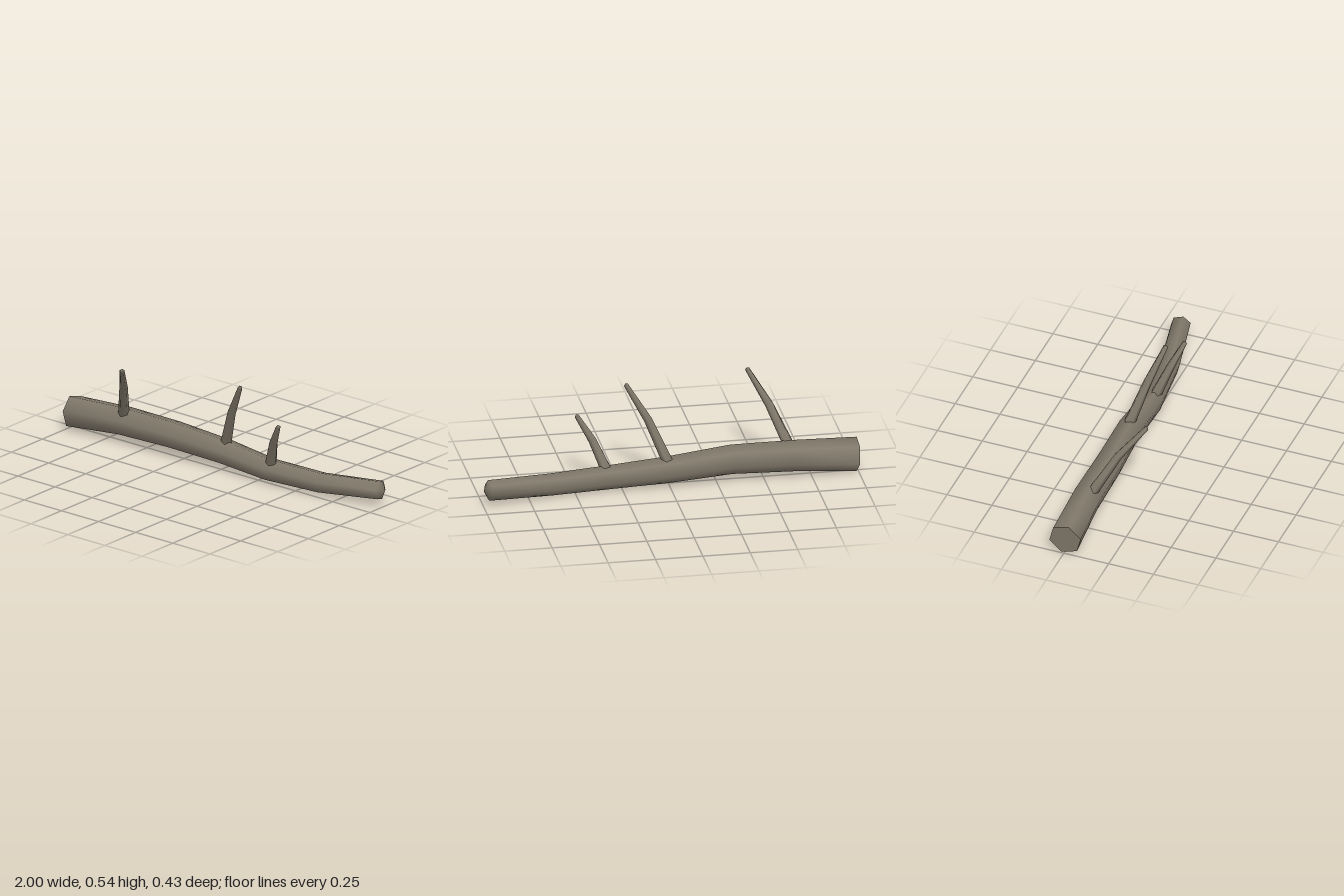
import * as THREE from 'three';

const UP = new THREE.Vector3(0, 1, 0);

// Tapered limb: rows are [x, y, z, radius]; smooth sides, pointed far end, flat near end.
function limb(rows, sides, turn, tipLength, baseLift = 0) {
  const pts = rows.map(r => new THREE.Vector3(r[0], r[1], r[2]));
  const last = rows.length - 1;
  const pos = [], idx = [];
  const t = new THREE.Vector3(), u = new THREE.Vector3(), v = new THREE.Vector3();

  rows.forEach((row, i) => {
    t.subVectors(pts[Math.min(i + 1, last)], pts[Math.max(i - 1, 0)]).normalize();
    if (i === 0) t.addScaledVector(UP, baseLift).normalize();
    u.crossVectors(t, UP).normalize();
    v.crossVectors(u, t);
    for (let j = 0; j < sides; j++) {
      const a = turn + j / sides * Math.PI * 2;
      const p = pts[i].clone()
        .addScaledVector(u, Math.cos(a) * row[3])
        .addScaledVector(v, Math.sin(a) * row[3]);
      pos.push(p.x, p.y, p.z);
    }
  });

  for (let i = 0; i < last; i++) {
    for (let j = 0; j < sides; j++) {
      const a = i * sides + j, b = i * sides + (j + 1) % sides;
      idx.push(a, a + sides, b, b, a + sides, b + sides);
    }
  }

  // Pointed far end, sharing the last ring
  const tip = pos.length / 3;
  pos.push(...pts[last].clone().addScaledVector(t, tipLength).toArray());
  for (let j = 0; j < sides; j++) idx.push(tip, last * sides + (j + 1) % sides, last * sides + j);

  // Flat near end with its own corners, so its rim stays sharp
  const centre = pos.length / 3;
  pos.push(...pts[0].toArray(), ...pos.slice(0, sides * 3));
  for (let j = 0; j < sides; j++) idx.push(centre, centre + 1 + j, centre + 1 + (j + 1) % sides);

  const g = new THREE.BufferGeometry();
  g.setAttribute('position', new THREE.Float32BufferAttribute(pos, 3));
  g.setIndex(idx);
  g.computeVertexNormals();
  return g;
}

export function createModel() {
  const group = new THREE.Group();
  group.name = 'deadBranch';
  const bark = new THREE.MeshStandardMaterial({ color: 0x80786a });
  bark.name = 'greyBrownBark';

  const add = (name, geometry) => {
    const mesh = new THREE.Mesh(geometry, bark);
    mesh.name = name;
    group.add(mesh);
  };

  // Main bough, six-sided and gently bent
  add('mainBough', limb([
    [-0.995, 0.285, 0.005, 0.09],
    [-0.66, 0.307, -0.01, 0.082],
    [-0.33, 0.311, -0.01, 0.077],
    [0, 0.288, -0.033, 0.07],
    [0.31, 0.265, -0.024, 0.063],
    [0.63, 0.26, -0.055, 0.058],
    [0.97, 0.28, -0.123, 0.054],
  ], 6, Math.PI / 12, 0.027));

  // Twigs leaning forward and towards the thin end
  const twigs = [
    [[-0.64, 0.358, 0.02, 0.031], [-0.555, 0.55, 0.125, 0.023], [-0.462, 0.705, 0.25, 0.013]],
    [[0.01, 0.34, -0.03, 0.031], [0.1, 0.55, 0.033, 0.023], [0.206, 0.728, 0.095, 0.013]],
    [[0.33, 0.31, -0.008, 0.031], [0.39, 0.45, 0.045, 0.023], [0.465, 0.572, 0.098, 0.013]],
  ];
  twigs.forEach((rows, i) => add('twig' + (i + 1), limb(rows, 5, 0.3, 0.006, 1.5)));

  return group;
}
